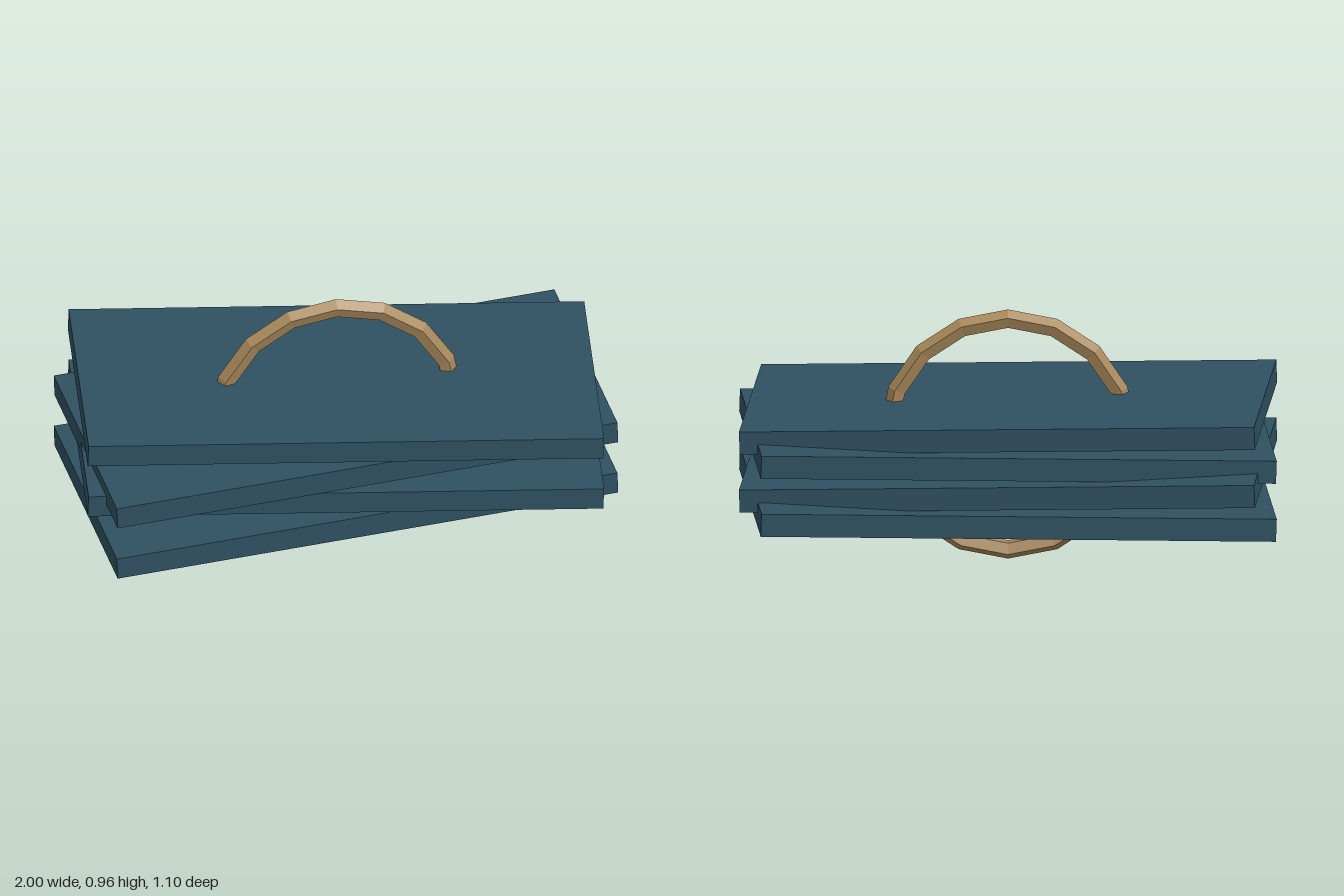
import * as THREE from 'three';

export function createModel() {
  const model = new THREE.Group();
  const blue = new THREE.MeshStandardMaterial({ color: 0x2f5161, flatShading: true });
  blue.name = 'slate blue';
  const tan = new THREE.MeshStandardMaterial({ color: 0xa7885a, flatShading: true });
  tan.name = 'tan';

  // Four stacked boards, alternately turned and tilted
  const boardGeometry = new THREE.BoxGeometry(1.925, 0.087, 0.935);
  const yaw = THREE.MathUtils.degToRad(5);
  const tilt = THREE.MathUtils.degToRad(1.95);
  for (let i = 0; i < 4; i++) {
    const side = i % 2 === 0 ? 1 : -1;
    const board = new THREE.Mesh(boardGeometry, blue);
    board.name = `board${i + 1}`;
    board.position.y = 0.251 + i * 0.112;
    board.rotation.set(0, side * yaw, side * tilt, 'ZYX');
    model.add(board);
  }

  // Upright five-sided ring passing through the stack
  const ring = new THREE.Mesh(new THREE.TorusGeometry(0.445, 0.036, 5, 16), tan);
  ring.name = 'ring';
  ring.position.y = 0.483;
  model.add(ring);

  return model;
}
